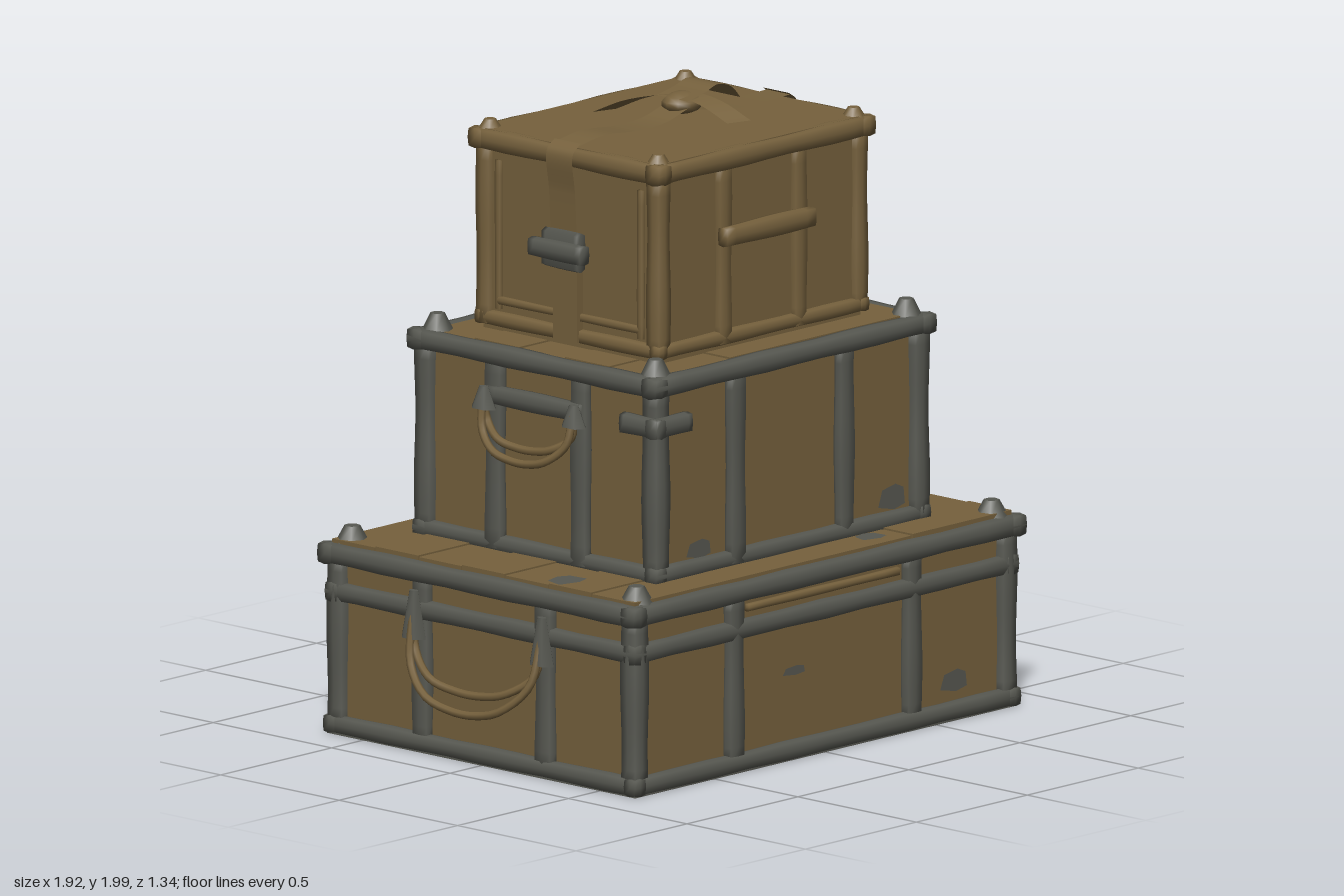
import * as THREE from 'three';
import { mergeVertices } from 'three/addons/utils/BufferGeometryUtils.js';
import { ParametricGeometry } from 'three/addons/geometries/ParametricGeometry.js';

const brown = new THREE.MeshStandardMaterial({ color: 0x76613d, side: THREE.DoubleSide });
brown.name = 'worn brown canvas';
const gray = new THREE.MeshStandardMaterial({ color: 0x575851 });
gray.name = 'dull gray metal';

const V = (x, y, z) => new THREE.Vector3(x, y, z);
const SIGNS = [-1, 1];

function add(parent, name, geometry, material) {
  const mesh = new THREE.Mesh(geometry, material);
  mesh.name = name;
  parent.add(mesh);
  return mesh;
}

// plain box between two corners
function box(parent, name, mat, x0, x1, y0, y1, z0, z1) {
  const mesh = add(parent, name, new THREE.BoxGeometry(Math.abs(x1 - x0), y1 - y0, Math.abs(z1 - z0)), mat);
  mesh.position.set((x0 + x1) / 2, (y0 + y1) / 2, (z0 + z1) / 2);
  return mesh;
}

// hand-hewn bar: softened edges and a slight waver along its length
function bar(parent, name, mat, x0, x1, y0, y1, z0, z1) {
  const size = [Math.abs(x1 - x0), Math.abs(y1 - y0), Math.abs(z1 - z0)];
  const long = size.indexOf(Math.max(...size));
  const mid = V((x0 + x1) / 2, (y0 + y1) / 2, (z0 + z1) / 2);
  let g = new THREE.BoxGeometry(...size, ...size.map((s, i) => (i === long ? 10 : 2)));
  g.deleteAttribute('normal');
  g.deleteAttribute('uv');
  g = mergeVertices(g);
  const p = g.attributes.position;
  const [a, b] = [0, 1, 2].filter((i) => i !== long);
  const phase = mid.x * 7 + mid.y * 11 + mid.z * 5;
  for (let i = 0; i < p.count; i++) {
    const c = [p.getX(i), p.getY(i), p.getZ(i)];
    const edge = Math.abs(c[a]) > size[a] * 0.4 && Math.abs(c[b]) > size[b] * 0.4;
    const k = (edge ? 0.86 : 1) * (1 + 0.06 * Math.sin(c[long] * 14 + phase));
    c[a] *= k;
    c[b] *= k;
    p.setXYZ(i, ...c);
  }
  g.computeVertexNormals();
  const mesh = add(parent, name, g, mat);
  mesh.position.copy(mid);
  return mesh;
}

// horizontal rails around all four sides
function ring(parent, name, mat, hx, hz, y0, y1, depth) {
  for (const s of SIGNS) {
    bar(parent, name, mat, -hx, hx, y0, y1, s * (hz - depth), s * hz);
    bar(parent, name, mat, s * (hx - depth), s * hx, y0, y1, -hz, hz);
  }
}

// upright posts at the corners and part-way along each side
function posts(parent, mat, hx, hz, y0, y1, w, depth, px, pz) {
  for (const s of SIGNS) for (const t of SIGNS) {
    bar(parent, 'cornerPost', mat, s * (hx - w), s * hx, y0, y1, t * (hz - w), t * hz);
    if (px) bar(parent, 'sidePost', mat, s * px - w / 2, s * px + w / 2, y0, y1, t * (hz - depth), t * hz);
    if (pz) bar(parent, 'sidePost', mat, t * (hx - depth), t * hx, y0, y1, s * pz - w / 2, s * pz + w / 2);
  }
}

function cornerStuds(parent, mat, x, y, z, r, h) {
  for (const s of SIGNS) for (const t of SIGNS) {
    const stud = add(parent, 'cornerStud', new THREE.CylinderGeometry(r * 0.45, r, h, 7), mat);
    stud.position.set(s * x, y + h / 2, t * z);
  }
}

function tube(parent, name, mat, points, r) {
  return add(parent, name, new THREE.TubeGeometry(new THREE.CatmullRomCurve3(points), 28, r, 7), mat);
}

// flat strap following a curve, widened along one direction
function ribbon(parent, name, points, across, width) {
  const curve = new THREE.CatmullRomCurve3(points);
  return add(parent, name, new ParametricGeometry((u, v, out) => {
    curve.getPoint(u, out);
    out.addScaledVector(across, (v - 0.5) * width);
  }, 24, 2), brown);
}

// double rope hanging from two tapered clamps, on both ends of a trunk
function hangingHandles(parent, x, topY, lowY, halfZ, reach, clampH) {
  for (const s of SIGNS) {
    const drop = topY - lowY;
    [[0, 0], [0.22, -0.025]].forEach(([lift, inset]) => {
      const half = [[0.01, 0, 1], [reach * 0.55, 0.55, 0.93], [reach, 0.88, 0.6], [reach, 1, 0.2]]
        .map(([dx, fall, z]) => [x + dx + (fall ? inset : 0), topY - drop * fall * (1 - lift), halfZ * z]);
      const pts = [...half.map(([a, b, c]) => V(s * a, b, c)),
        ...half.reverse().map(([a, b, c]) => V(s * a, b, -c))];
      tube(parent, 'ropeHandle', brown, pts, 0.013);
    });
    for (const t of SIGNS) {
      const clamp = add(parent, 'handleClamp', new THREE.CylinderGeometry(0.018, 0.05, clampH, 6), gray);
      clamp.scale.x = 0.6;
      clamp.position.set(s * (x + 0.005), topY, t * halfZ);
    }
  }
}

// loose planks lying on a lid
function planks(parent, hx, hz, y, count) {
  const w = (2 * hz) / count;
  for (let i = 0; i < count; i++) {
    const z = -hz + i * w;
    const split = hx * 0.6 * Math.sin(i * 2.3 + 1);
    box(parent, 'lidPlank', brown, -hx, split - 0.003, y - 0.02, y + 0.004 * (i % 2), z + 0.002, z + w - 0.002);
    box(parent, 'lidPlank', brown, split + 0.003, hx, y - 0.02, y + 0.004 * ((i + 1) % 2), z + 0.002, z + w - 0.002);
  }
}

// ragged flat patch of bare metal
function patch(parent, x, y, z, w, h, flat) {
  const shape = new THREE.Shape([[-1, -0.6], [0.2, -1], [1, -0.7], [0.9, 0.6], [0.3, 1], [-0.7, 0.7]]
    .map(([a, b]) => new THREE.Vector2((a * w) / 2, (b * h) / 2)));
  const m = add(parent, 'wornPatch', new THREE.ShapeGeometry(shape), gray);
  m.position.set(x, y, z);
  if (flat) m.rotation.x = -Math.PI / 2;
}

function largeTrunk() {
  const g = new THREE.Group();
  g.name = 'largeTrunk';
  box(g, 'body', brown, -0.835, 0.835, 0.02, 0.6, -0.625, 0.625);
  box(g, 'base', gray, -0.86, 0.86, 0, 0.03, -0.65, 0.65);
  ring(g, 'bottomRail', gray, 0.87, 0.66, 0.003, 0.06, 0.05);
  ring(g, 'middleRail', gray, 0.865, 0.655, 0.42, 0.48, 0.05);
  ring(g, 'lidRail', gray, 0.885, 0.67, 0.54, 0.605, 0.06);
  posts(g, gray, 0.865, 0.655, 0.03, 0.57, 0.07, 0.045, 0.4, 0.26);
  for (const s of SIGNS) bar(g, 'lidSlat', brown, -0.34, 0.34, 0.5, 0.525, s * 0.62, s * 0.645);
  planks(g, 0.85, 0.64, 0.615, 7);
  cornerStuds(g, gray, 0.8, 0.6, 0.6, 0.055, 0.055);
  hangingHandles(g, 0.87, 0.44, 0.18, 0.27, 0.075, 0.15);
  patch(g, -0.12, 0.275, 0.627, 0.1, 0.03);
  patch(g, 0.6, 0.12, 0.627, 0.12, 0.07);
  patch(g, -0.79, 0.622, 0.29, 0.12, 0.1, true);
  patch(g, -0.28, 0.622, -0.58, 0.09, 0.1, true);
  patch(g, 0.28, 0.622, 0.57, 0.1, 0.08, true);
  return g;
}

function middleTrunk() {
  const g = new THREE.Group();
  g.name = 'middleTrunk';
  box(g, 'body', brown, -0.59, 0.59, 0.6, 1.24, -0.485, 0.485);
  ring(g, 'bottomRail', gray, 0.62, 0.515, 0.605, 0.66, 0.05);
  ring(g, 'lidRail', gray, 0.635, 0.525, 1.2, 1.262, 0.06);
  posts(g, gray, 0.62, 0.515, 0.62, 1.23, 0.07, 0.04, 0.245, 0.18);
  for (const s of SIGNS) bar(g, 'handleRail', gray, s * 0.59, s * 0.635, 1.075, 1.135, -0.2, 0.2);
  planks(g, 0.585, 0.475, 1.258, 5);
  cornerStuds(g, gray, 0.565, 1.255, 0.46, 0.05, 0.055);
  hangingHandles(g, 0.64, 1.1, 0.93, 0.19, 0.05, 0.07);
  // hinge wrapping the front corner
  bar(g, 'cornerHinge', gray, -0.645, -0.48, 1.075, 1.14, 0.49, 0.54);
  bar(g, 'cornerHinge', gray, -0.645, -0.6, 1.075, 1.14, 0.38, 0.54);
  patch(g, -0.4, 0.685, 0.487, 0.11, 0.06);
  patch(g, 0.47, 0.7, 0.487, 0.12, 0.08);
  return g;
}

function smallBox() {
  const g = new THREE.Group();
  g.name = 'smallBox';
  box(g, 'body', brown, -0.455, 0.455, 1.26, 1.88, -0.37, 0.37);
  ring(g, 'bottomRail', brown, 0.475, 0.39, 1.275, 1.32, 0.04);
  ring(g, 'lidRail', brown, 0.49, 0.405, 1.83, 1.895, 0.06);
  posts(g, brown, 0.475, 0.39, 1.28, 1.85, 0.06, 0.035, 0.17, 0);
  box(g, 'lid', brown, -0.47, 0.47, 1.86, 1.895, -0.385, 0.385);
  cornerStuds(g, brown, 0.44, 1.885, 0.355, 0.04, 0.035);
  for (const s of SIGNS) {
    // grip on front and back
    bar(g, 'gripHandle', brown, -0.2, 0.2, 1.59, 1.655, s * 0.38, s * 0.425);
    // inner side frame
    for (const t of SIGNS) bar(g, 'sideBatten', brown, s * 0.45, s * 0.468, 1.33, 1.8, t * 0.3 - 0.012, t * 0.3 + 0.012);
    bar(g, 'sideBatten', brown, s * 0.45, s * 0.468, 1.345, 1.37, -0.3, 0.3);
    // strap running down each end, with its buckle
    box(g, 'sideStrap', brown, s * 0.45, s * 0.482, 1.28, 1.6, -0.05, 0.05);
    ribbon(g, 'sideStrap', [V(s * 0.485, 1.56, 0), V(s * 0.495, 1.75, 0), V(s * 0.505, 1.88, 0), V(s * 0.47, 1.91, 0)], V(0, 0, 1), 0.11);
    bar(g, 'bucklePlate', gray, s * 0.47, s * 0.51, 1.51, 1.63, -0.075, 0.075);
    bar(g, 'buckleBar', gray, s * 0.49, s * 0.535, 1.54, 1.6, -0.11, 0.11);
  }
  // strap over the lid, knotted with loose tails
  ribbon(g, 'lidStrap', [V(-0.48, 1.9, 0), V(-0.36, 1.917, 0), V(-0.2, 1.905, 0), V(-0.08, 1.91, 0), V(0.03, 1.94, 0)], V(0, 0, 1), 0.1);
  ribbon(g, 'lidStrap', [V(0.05, 1.93, 0), V(0.2, 1.903, 0), V(0.35, 1.9, 0), V(0.48, 1.903, 0)], V(0, 0, 1), 0.1);
  ribbon(g, 'looseTail', [V(-0.06, 1.9, -0.23), V(-0.02, 1.95, -0.12), V(0.05, 1.97, 0), V(0.08, 1.95, 0.09), V(0.11, 1.9, 0.18)], V(1, 0, 0.3), 0.08);
  ribbon(g, 'looseTail', [V(0, 1.965, 0), V(0.08, 1.98, 0), V(0.15, 1.993, -0.01), V(0.21, 1.975, -0.01), V(0.25, 1.935, -0.01)], V(0, 0, 1), 0.13);
  const knot = add(g, 'knot', new THREE.SphereGeometry(1, 10, 7), brown);
  knot.scale.set(0.075, 0.035, 0.06);
  knot.position.set(0.05, 1.945, 0);
  return g;
}

export function createModel() {
  const model = new THREE.Group();
  model.name = 'stackedTrunks';
  model.add(largeTrunk(), middleTrunk(), smallBox());
  return model;
}
